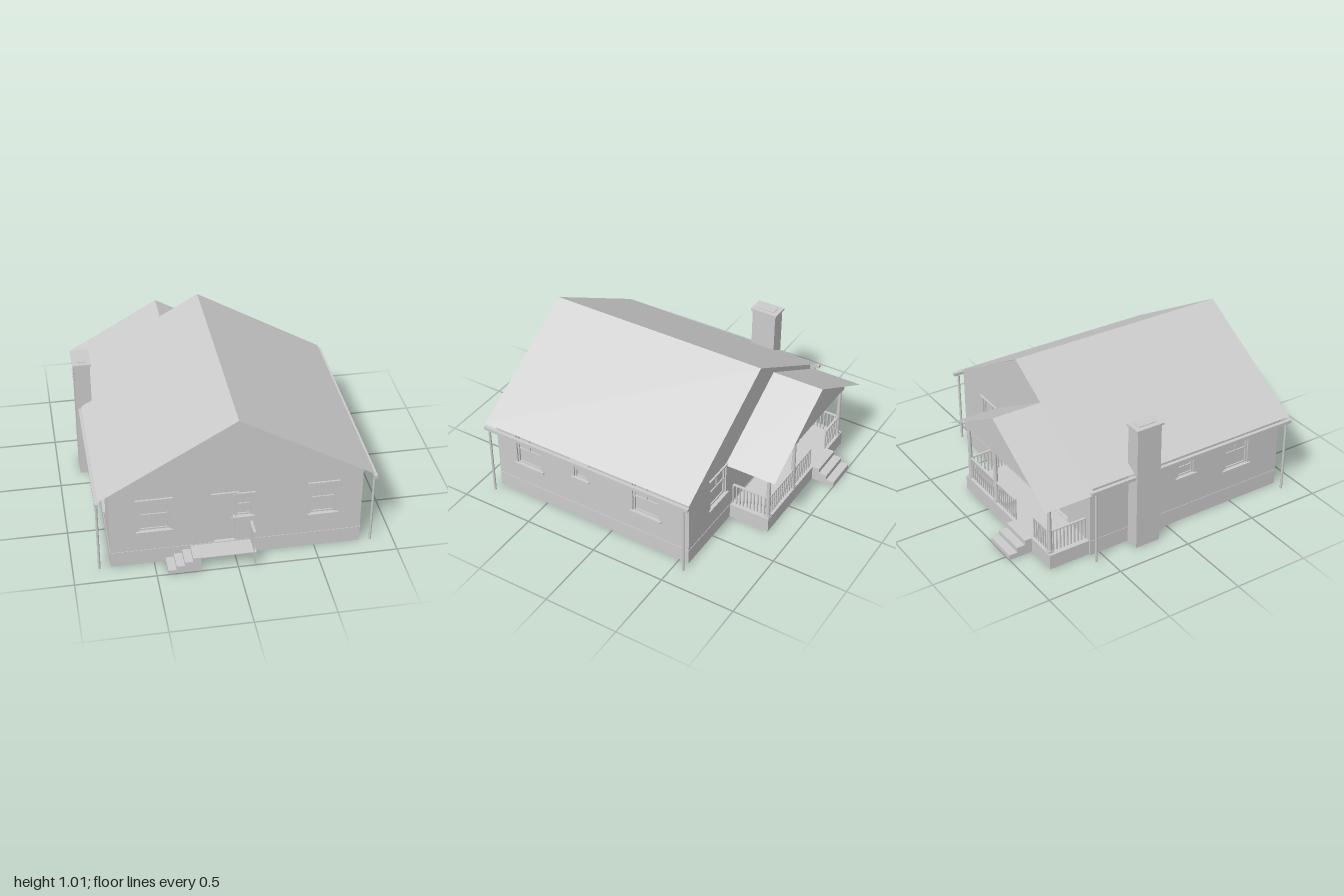
import * as THREE from 'three';

const siding = new THREE.MeshStandardMaterial({ color: 0xcccccc });
siding.name = 'plainGrey';
const sheet = siding.clone();
sheet.side = THREE.DoubleSide;
sheet.name = 'plainGreySheet';

function add(parent, name, geometry, material = siding) {
  const mesh = new THREE.Mesh(geometry, material);
  mesh.name = name;
  parent.add(mesh);
  return mesh;
}

// Box given by its low and high corners
function box(parent, name, x0, x1, y0, y1, z0, z1) {
  const m = add(parent, name, new THREE.BoxGeometry(x1 - x0, y1 - y0, z1 - z0));
  m.position.set((x0 + x1) / 2, (y0 + y1) / 2, (z0 + z1) / 2);
  return m;
}

// Slab on thin skirts, open below; sides lists the skirts by direction
function openBox(parent, name, x0, x1, h, z0, z1, sides) {
  const g = new THREE.Group(), t = 0.006, y = h - t;
  g.name = name;
  parent.add(g);
  box(g, 'slab', x0, x1, y, h, z0, z1);
  if (sides.includes('-x')) box(g, 'skirt', x0, x0 + t, 0, y, z0, z1);
  if (sides.includes('+x')) box(g, 'skirt', x1 - t, x1, 0, y, z0, z1);
  if (sides.includes('-z')) box(g, 'skirt', x0, x1, 0, y, z0, z0 + t);
  if (sides.includes('+z')) box(g, 'skirt', x0, x1, 0, y, z1 - t, z1);
}

// Two sloping sheets meeting at a ridge that runs along z
function gableRoof(parent, name, section, z0, z1) {
  const pts = [];
  for (let i = 0; i < section.length - 1; i++) {
    const [ax, ay] = section[i], [bx, by] = section[i + 1];
    const a = new THREE.Vector3(ax, ay, z0), b = new THREE.Vector3(ax, ay, z1);
    const c = new THREE.Vector3(bx, by, z1), d = new THREE.Vector3(bx, by, z0);
    pts.push(a, b, c, a, c, d);
  }
  const g = new THREE.BufferGeometry().setFromPoints(pts);
  g.computeVertexNormals();
  add(parent, name, g, sheet);
}

const shapeOf = (pts) => new THREE.Shape(pts.map(([x, y]) => new THREE.Vector2(x, y)));

// Wall with recessed openings; u runs along the wall, outside faces local +z
function wall(parent, name, outline, openings, d, turn) {
  const g = new THREE.Group();
  g.name = name;
  g.rotation.y = turn;
  parent.add(g);
  const shape = shapeOf(outline), T = 0.03;
  for (const { u0, u1, v0, v1 } of openings) {
    shape.holes.push(new THREE.Path([[u0, v0], [u0, v1], [u1, v1], [u1, v0]]
      .map(([x, y]) => new THREE.Vector2(x, y))));
  }
  const geo = new THREE.ExtrudeGeometry(shape, { depth: T, bevelEnabled: false });
  geo.translate(0, 0, d - T);
  add(g, name + 'Panel', geo);
  for (const { u0, u1, v0, v1, door } of openings) {
    const w = 0.012, mid = (v0 + v1) / 2;
    box(g, door ? 'doorLeaf' : 'windowPane', u0, u1, v0, v1, d - 0.028, d - 0.02);
    box(g, 'lintel', u0 - 0.02, u1 + 0.02, v1 + 0.008, v1 + 0.017, d - 0.005, d + 0.012);
    if (door) {
      box(g, 'doorKnob', u1 - 0.022, u1 - 0.014, 0.26, 0.27, d - 0.02, d - 0.008);
      continue;
    }
    box(g, 'sill', u0 - 0.018, u1 + 0.018, v0 - 0.007, v0 + 0.002, d - 0.02, d + 0.013);
    for (const u of [u0, u1 - w]) box(g, 'sashStile', u, u + w, v0, v1, d - 0.021, d - 0.01);
    for (const v of [v0, mid - w / 2, v1 - w]) box(g, 'sashRail', u0, u1, v, v + w, d - 0.021, d - 0.012);
    const c = (u0 + u1) / 2;
    box(g, 'sashBar', c - 0.003, c + 0.003, mid, v1, d - 0.021, d - 0.014);
  }
}

const win = (u0, u1, v0 = 0.247, v1 = 0.47) => ({ u0, u1, v0, v1 });
const door = (u0, u1) => ({ u0, u1, v0: 0.106, v1: 0.462, door: true });

// Railing with balusters between two floor points
function railing(parent, x0, z0, x1, z1) {
  const len = Math.hypot(x1 - x0, z1 - z0);
  const g = new THREE.Group();
  g.name = 'railing';
  g.position.set(x0, 0, z0);
  g.rotation.y = Math.atan2(-(z1 - z0), x1 - x0);
  parent.add(g);
  box(g, 'topRail', 0, len, 0.243, 0.25, -0.008, 0.008);
  const n = Math.max(3, Math.round(len / 0.026));
  for (let i = 0; i <= n; i++) {
    const u = (len * i) / n;
    box(g, 'baluster', u - 0.004, u + 0.004, 0.1, 0.245, -0.004, 0.004);
  }
}

export function createModel() {
  const house = new THREE.Group();
  house.name = 'house';
  house.position.x = 0.004;
  const L = -0.77, R = 0.785, F = 0.87, B = -0.565, C = 0.007;

  // Hollow foundation with the ground floor on it, and the thin ledge above
  openBox(house, 'foundation', L, R, 0.1, B, F, ['-x', '+x', '-z', '+z']);
  box(house, 'ledge', L - 0.003, R + 0.003, 0.1, 0.106, B - 0.003, F + 0.003);

  // Walls
  const gable = (a, b, c) => [[a, 0.1], [b, 0.1], [b, 0.562], [c, 0.998], [a, 0.562]];
  wall(house, 'frontWall', gable(L, R, C),
    [win(-0.593, -0.402), win(0.463, 0.62), door(-0.133, -0.002), win(0.002, 0.1, 0.287, 0.45)], F, 0);
  wall(house, 'backWall', gable(-R, -L, -C),
    [win(-0.53, -0.34), win(0.01, 0.24, 0.27, 0.46), door(0.375, 0.515)], -B, Math.PI);
  const side = (a, b) => [[a, 0.1], [b, 0.1], [b, 0.562], [a, 0.562]];
  wall(house, 'leftWall', side(-F + 0.03, -B - 0.03),
    [win(-0.72, -0.53), win(-0.275, -0.175, 0.325, 0.447), win(0.16, 0.35)], R, Math.PI / 2);
  wall(house, 'rightWall', side(B + 0.03, F - 0.03),
    [win(0.08, 0.2, 0.325, 0.447), win(0.45, 0.63)], -L, -Math.PI / 2);

  // Main roof, gutters and downspouts
  gableRoof(house, 'mainRoof', [[-0.832, 0.529], [C, 1.013], [0.846, 0.529]], -0.602, 0.905);
  for (const [x0, x1] of [[-0.853, -0.83], [0.844, 0.866]]) {
    box(house, 'gutter', x0, x1, 0.491, 0.513, -0.602, 0.905);
    const x = (x0 + x1) / 2;
    for (const z of [F + 0.001, B - 0.003]) {
      const pipe = add(house, 'downspout', new THREE.CylinderGeometry(0.008, 0.008, 0.495, 10));
      pipe.position.set(x, 0.2475, z);
    }
  }

  // Chimney
  box(house, 'chimney', -0.863, -0.763, 0, 0.835, -0.29, -0.12);
  box(house, 'chimneyCap', -0.873, -0.755, 0.832, 0.846, -0.3, -0.11);
  box(house, 'chimneyFlue', -0.84, -0.785, 0.845, 0.85, -0.265, -0.145);

  // Front landing: hollow side steps, deck with one end panel, and handrail
  for (let i = 0; i < 4; i++) {
    const x = -0.434 + i * 0.051;
    openBox(house, 'frontStep', x, x + 0.051, 0.025 * (i + 1), F, 0.995, i < 3 ? ['-x', '+z'] : ['-x', '+x', '+z']);
  }
  openBox(house, 'frontDeck', -0.23, 0.107, 0.101, F, 0.998, ['+x']);
  railing(house, 0.095, F + 0.01, 0.095, 0.99);

  // Back porch deck and steps, open below
  const pz = -0.82, PL = -0.72, PR = 0.25;
  openBox(house, 'porchDeck', -0.757, 0.28, 0.1, -0.842, B, ['-x', '+x', '-z']);
  [[0.1, -0.89, -0.842], [0.068, -0.945, -0.89], [0.034, -1, -0.945]].forEach(([h, z0, z1]) =>
    openBox(house, 'porchStep', -0.544, -0.324, h, z0, z1, ['-x', '+x', '-z']));

  // Porch posts, tapered with a base and a capital
  for (const x of [PR, -0.08, PL]) {
    const post = add(house, 'porchPost', new THREE.CylinderGeometry(0.01, 0.016, 0.39, 12));
    post.position.set(x, 0.295, pz);
    box(house, 'postBase', x - 0.018, x + 0.018, 0.1, 0.112, pz - 0.018, pz + 0.018);
    box(house, 'postCapital', x - 0.018, x + 0.018, 0.468, 0.482, pz - 0.018, pz + 0.018);
  }
  railing(house, PR, pz, -0.32, pz);
  railing(house, -0.54, pz, PL, pz);
  for (const x of [PR, PL]) railing(house, x, B - 0.005, x, pz);

  // Porch gable and roof
  const pc = -0.237;
  const tri = shapeOf([[PL - 0.02, 0.48], [PR + 0.02, 0.48], [PR + 0.02, 0.522], [pc, 0.808], [PL - 0.02, 0.522]]);
  const pg = new THREE.ExtrudeGeometry(tri, { depth: 0.03, bevelEnabled: false });
  add(house, 'porchGable', pg).position.z = -0.84;
  gableRoof(house, 'porchRoof', [[-0.83, 0.478], [pc, 0.818], [0.355, 0.478]], -0.91, B);

  return house;
}
